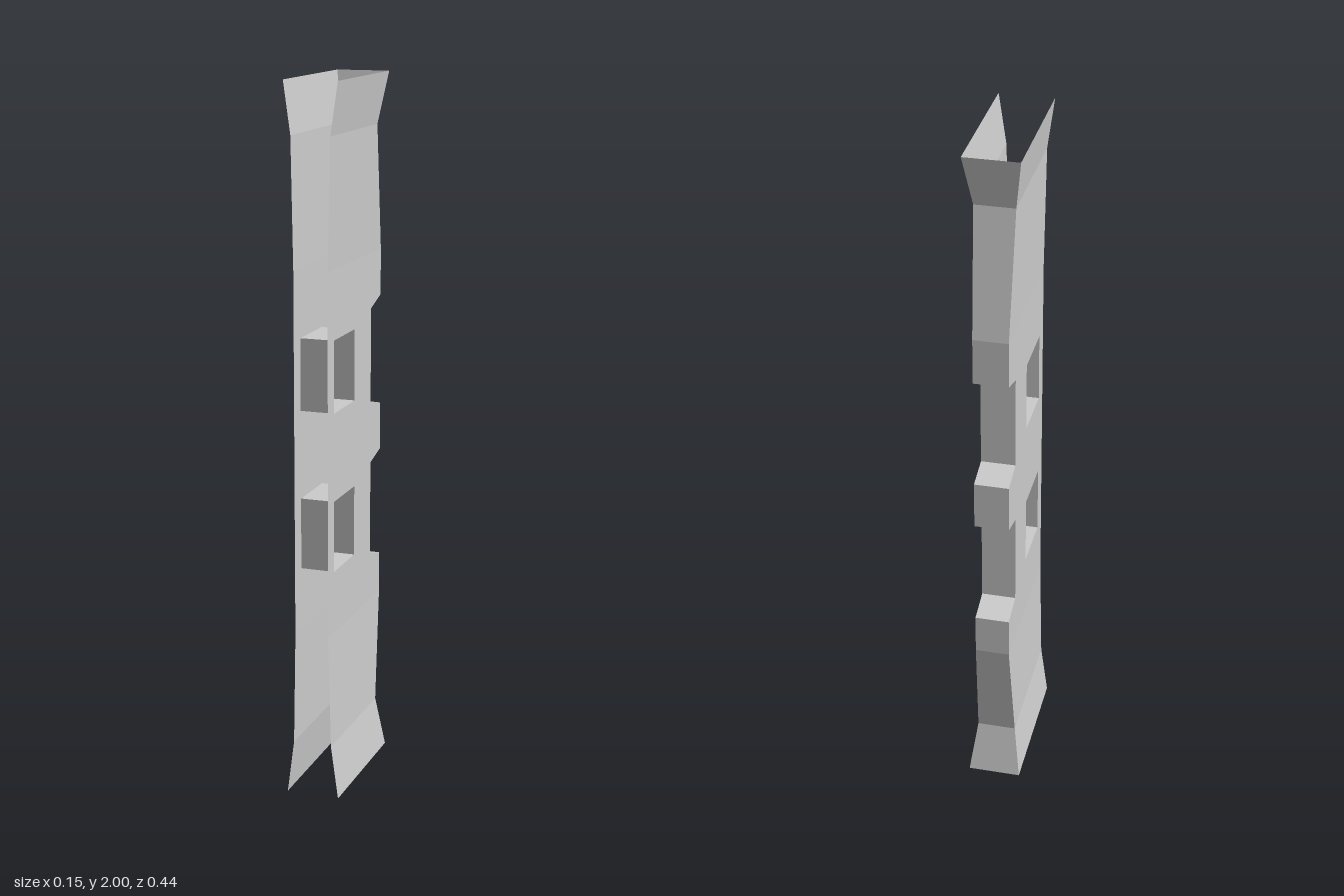
import * as THREE from 'three';
import { mergeGeometries } from 'three/addons/utils/BufferGeometryUtils.js';

const material = new THREE.MeshStandardMaterial({ color: 0xcccccc, flatShading: true, side: THREE.DoubleSide });

const FRONT = 0.219;
// Back edge of the channel, bottom to top, as [z, y]
const back = [
  [-0.197, 0], [-0.165, 0.154], [-0.219, 0.477], [-0.219, 0.594], [-0.135, 0.618],
  [-0.135, 0.891], [-0.219, 0.912], [-0.219, 1.05], [-0.135, 1.072], [-0.135, 1.342],
  [-0.219, 1.369], [-0.219, 1.5], [-0.16, 1.857], [-0.197, 2],
];
// Heights where the side sheets bend, with the x of the right and left sheet there
const bends = [
  [0, -0.076, 0.076], [0.154, -0.056, 0.055], [0.477, -0.05, 0.047],
  [1.5, -0.05, 0.047], [1.857, -0.056, 0.055], [2, -0.076, 0.076],
];
// Window openings: z range and the y ranges
const WIN_Z = [0.004, 0.17];
const windows = [[0.655, 0.857], [1.106, 1.308]];

const windowLoop = ([y0, y1]) => [[WIN_Z[0], y0], [WIN_Z[1], y0], [WIN_Z[1], y1], [WIN_Z[0], y1]];
const toVectors = (pts) => pts.map(([z, y]) => new THREE.Vector2(z, y));

// x of a side sheet (1 = right, 2 = left) at height y
function sheetX(y, side) {
  let i = 0;
  while (i < bends.length - 2 && y > bends[i + 1][0]) i++;
  const a = bends[i], b = bends[i + 1];
  return THREE.MathUtils.lerp(a[side], b[side], (y - a[0]) / (b[0] - a[0]));
}

function addMesh(group, geometry, name) {
  const mesh = new THREE.Mesh(geometry, material);
  mesh.name = name;
  group.add(mesh);
}

// One side sheet, made of flat bands between the bends
function sideSheet(side) {
  const bands = [];
  for (let i = 0; i < bends.length - 1; i++) {
    const y0 = bends[i][0], y1 = bends[i + 1][0];
    const edge = back.filter(([, y]) => y >= y0 && y <= y1);
    const shape = new THREE.Shape(toVectors([[FRONT, y1], [FRONT, y0], ...edge]));
    for (const w of windows) {
      if (w[0] > y0 && w[1] < y1) shape.holes.push(new THREE.Path(toVectors(windowLoop(w))));
    }
    const band = new THREE.ShapeGeometry(shape);
    const p = band.attributes.position;
    for (let k = 0; k < p.count; k++) {
      const z = p.getX(k), y = p.getY(k);
      p.setXYZ(k, sheetX(y, side), y, z);
    }
    bands.push(band.toNonIndexed());
  }
  const sheet = mergeGeometries(bands);
  sheet.computeVertexNormals();
  return sheet;
}

// A wall joining the two sheets along a path of [z, y] points
function crossWall(path) {
  const positions = [];
  for (let i = 0; i < path.length - 1; i++) {
    const [[z0, y0], [z1, y1]] = [path[i], path[i + 1]];
    const a = [sheetX(y0, 1), y0, z0], b = [sheetX(y0, 2), y0, z0];
    const c = [sheetX(y1, 2), y1, z1], d = [sheetX(y1, 1), y1, z1];
    positions.push(...a, ...d, ...c, ...a, ...c, ...b);
  }
  const geometry = new THREE.BufferGeometry();
  geometry.setAttribute('position', new THREE.Float32BufferAttribute(positions, 3));
  geometry.computeVertexNormals();
  return geometry;
}

export function createModel() {
  const model = new THREE.Group();
  model.name = 'notchedChannel';

  // Flared side sheets with window openings
  addMesh(model, sideSheet(1), 'rightSheet');
  addMesh(model, sideSheet(2), 'leftSheet');

  // Notched wall closing the back; front, top and bottom stay open
  addMesh(model, crossWall(back), 'backWall');

  // Four-walled tunnels through the windows
  windows.forEach((w, i) => {
    const loop = windowLoop(w);
    addMesh(model, crossWall([...loop, loop[0]]), i ? 'upperWindowTunnel' : 'lowerWindowTunnel');
  });
  return model;
}
